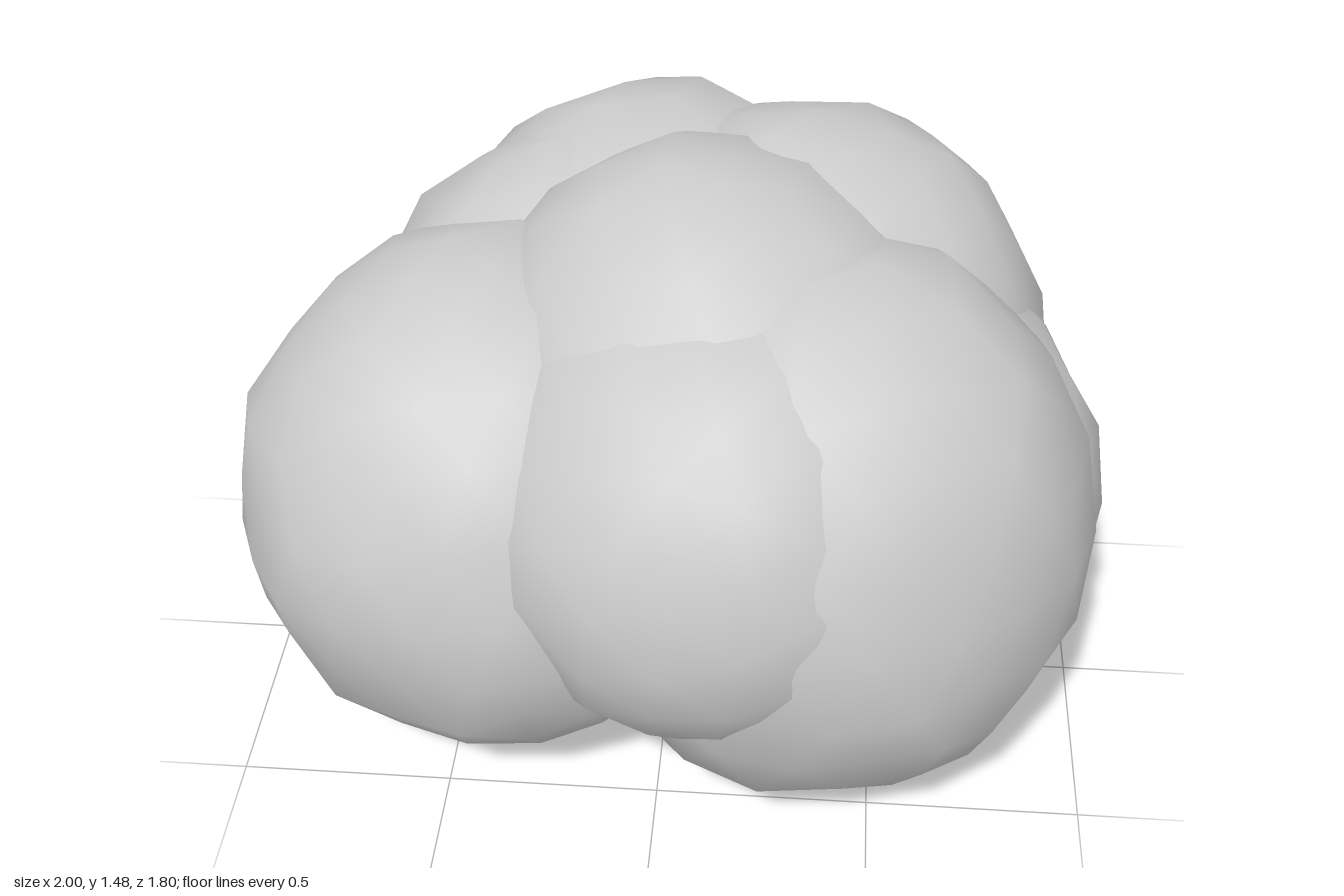
import * as THREE from 'three';
import { mergeVertices } from 'three/addons/utils/BufferGeometryUtils.js';

const material = new THREE.MeshStandardMaterial({ color: 0xcccccc });

// small seeded generator
function seeded(seed) {
  let s = seed;
  return () => (s = (s * 16807) % 2147483647) / 2147483647;
}

// low-poly ball with softly jittered vertices and smooth normals
function lumpyBall(radius, height, seed) {
  let geo = new THREE.IcosahedronGeometry(1, 3);
  geo.deleteAttribute('uv');
  geo.deleteAttribute('normal');
  geo = mergeVertices(geo, 1e-3);
  const rand = seeded(seed);
  for (let i = 0; i < 8; i++) rand();
  const turn = new THREE.Euler(rand() * 6, rand() * 6, rand() * 6);
  const pos = geo.attributes.position;
  const v = new THREE.Vector3();
  for (let i = 0; i < pos.count; i++) {
    v.fromBufferAttribute(pos, i).applyEuler(turn);
    v.multiplyScalar(1 + (rand() - 0.5) * 0.05);
    pos.setXYZ(i, v.x * radius, v.y * height, v.z * radius);
  }
  geo.computeVertexNormals();
  return geo;
}

// name, centre x y z, horizontal radius, vertical radius
const LOBES = [
  ['rightLobe', -0.39, 0.66, 0.15, 0.61, 0.64],
  ['frontLeftLobe', 0.37, 0.70, 0.26, 0.60, 0.68],
  ['leftLobe', 0.42, 0.65, 0.07, 0.58, 0.59],
  ['backLeftLobe', 0.31, 0.85, -0.18, 0.56, 0.61],
  ['backLobe', -0.05, 0.75, -0.29, 0.61, 0.67],
  ['backRightLobe', -0.20, 0.73, -0.21, 0.57, 0.63],
  ['frontLobe', 0.14, 0.80, 0.30, 0.59, 0.56],
  ['topLobe', 0.10, 0.90, 0.07, 0.58, 0.59],
];

export function createModel() {
  const model = new THREE.Group();
  model.name = 'lumpyCluster';
  LOBES.forEach(([name, x, y, z, radius, height], i) => {
    const lobe = new THREE.Mesh(lumpyBall(radius, height, 101 + i * 7919), material);
    lobe.name = name;
    lobe.position.set(x, y, z);
    model.add(lobe);
  });
  return model;
}
